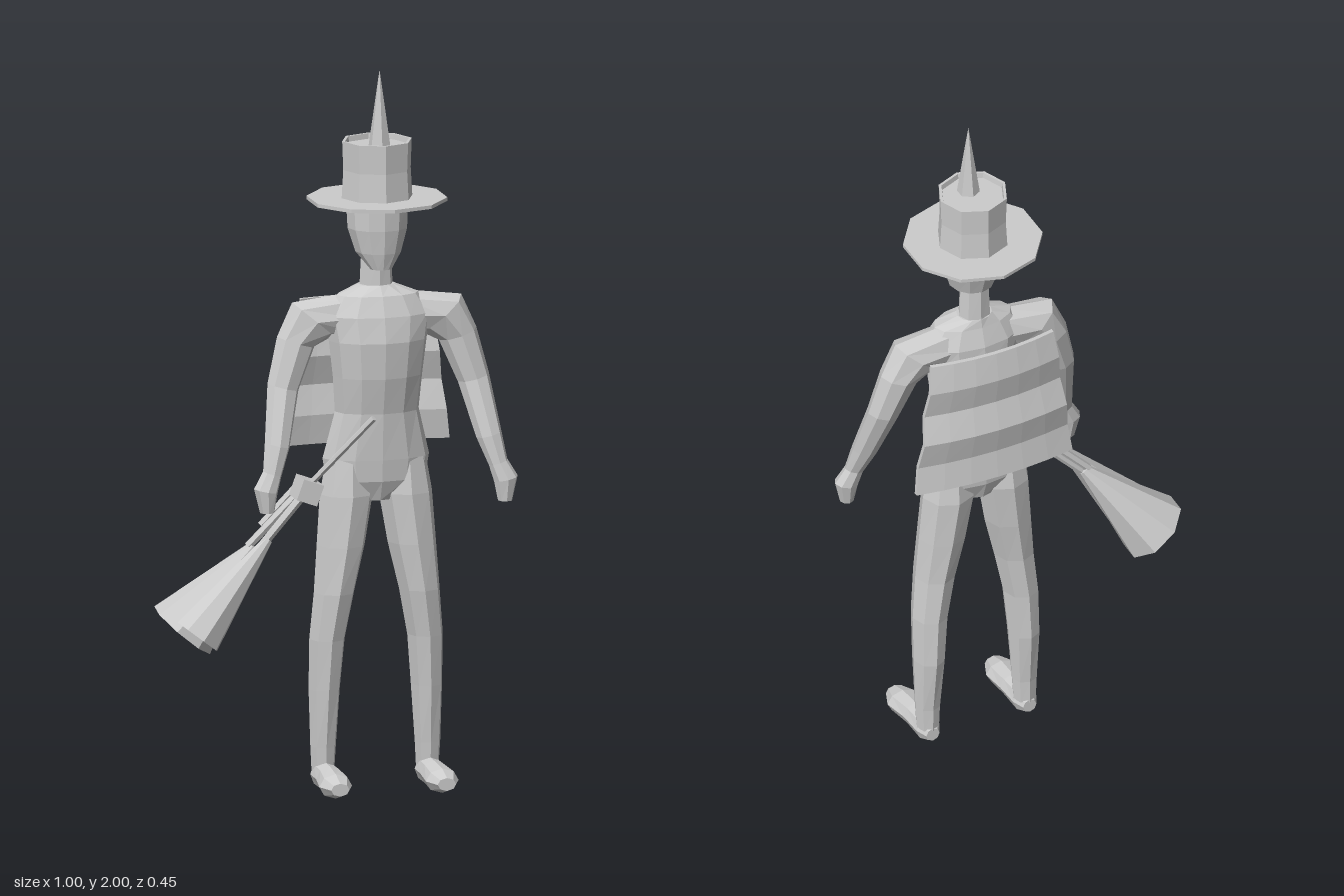
import * as THREE from 'three';

const CX = 0.137; // the figure stands beside the origin; the broom balances it

// Closed skin over elliptical rings, listed bottom to top: [x, y, z, rx, rz, tilt]
function loft(sections, sides = 8) {
  const pos = [], idx = [];
  for (const [x, y, z, rx, rz, t = 0] of sections) {
    for (let i = 0; i < sides; i++) {
      const a = (i / sides) * Math.PI * 2, u = Math.cos(a) * rx;
      pos.push(x + u * Math.cos(t), y + u * Math.sin(t), z + Math.sin(a) * rz);
    }
  }
  const last = sections.length - 1, base = sections.length * sides;
  for (const s of [sections[0], sections[last]]) pos.push(s[0], s[1], s[2]);
  for (let i = 0; i < sides; i++) {
    const j = (i + 1) % sides;
    for (let k = 0; k < last; k++) {
      const a = k * sides, b = a + sides;
      idx.push(a + i, b + i, a + j, b + i, b + j, a + j);
    }
    idx.push(base, i, j, base + 1, last * sides + j, last * sides + i);
  }
  const g = new THREE.BufferGeometry();
  g.setAttribute('position', new THREE.Float32BufferAttribute(pos, 3));
  g.setIndex(idx);
  g.computeVertexNormals();
  return g;
}

export function createModel() {
  const group = new THREE.Group();
  const grey = new THREE.MeshStandardMaterial({ color: 0xcccccc, flatShading: true });
  grey.name = 'plain grey';

  const add = (name, geometry, x = 0, y = 0, z = 0) => {
    const m = new THREE.Mesh(geometry, grey);
    m.name = name;
    m.position.set(x, y, z);
    group.add(m);
    return m;
  };
  // Tapered rod between two points
  const rod = (name, from, to, r0, r1 = r0, sides = 6) => {
    const a = new THREE.Vector3(...from), b = new THREE.Vector3(...to);
    const d = b.clone().sub(a);
    const m = add(name, new THREE.CylinderGeometry(r1, r0, d.length(), sides));
    m.position.copy(a).add(b).multiplyScalar(0.5);
    m.quaternion.setFromUnitVectors(new THREE.Vector3(0, 1, 0), d.normalize());
    return m;
  };

  // Torso, neck and head
  add('torso', loft([
    [0, 0.805, -0.045, 0.05, 0.05], [0, 0.86, -0.045, 0.14, 0.07],
    [0, 0.92, -0.045, 0.15, 0.075], [0, 1.05, -0.035, 0.118, 0.072],
    [0, 1.15, -0.026, 0.126, 0.083], [0, 1.25, -0.023, 0.138, 0.088],
    [0, 1.32, -0.028, 0.15, 0.08], [0, 1.375, -0.03, 0.115, 0.06],
    [0, 1.4, -0.04, 0.05, 0.045],
  ], 12), CX);
  add('neck', loft([[0, 1.37, -0.042, 0.048, 0.043], [0, 1.49, -0.042, 0.042, 0.04]]), CX);
  add('head', loft([
    [0, 1.45, 0.012, 0.03, 0.026], [0, 1.495, -0.02, 0.064, 0.068],
    [0, 1.56, -0.028, 0.084, 0.083], [0, 1.64, -0.03, 0.088, 0.085],
  ], 12), CX);

  // Limbs, mirrored
  for (const s of [1, -1]) {
    const side = s > 0 ? 'left' : 'right';
    const mirror = (rows) => rows.map(([x, y, z, a, b, t = 0]) => [s * x, y, z, a, b, s * t]);
    add(side + 'Arm', loft(mirror([
      [0.335, 0.8, 0.065, 0.02, 0.02], [0.338, 0.86, 0.062, 0.034, 0.03, 0.2],
      [0.318, 0.905, 0.055, 0.027, 0.024, 0.3], [0.298, 0.98, 0.032, 0.036, 0.034, 0.25],
      [0.268, 1.13, -0.02, 0.045, 0.042, 0.25], [0.228, 1.25, -0.036, 0.055, 0.05, 0.3],
      [0.18, 1.31, -0.036, 0.076, 0.056, 0.7], [0.06, 1.315, -0.035, 0.066, 0.05, 1.4],
    ])), CX);
    add(side + 'Leg', loft(mirror([
      [0.147, 0.05, -0.052, 0.032, 0.034], [0.147, 0.12, -0.05, 0.036, 0.037],
      [0.144, 0.28, -0.05, 0.044, 0.053], [0.138, 0.42, -0.043, 0.05, 0.058],
      [0.12, 0.55, -0.036, 0.057, 0.065], [0.1, 0.68, -0.04, 0.068, 0.071],
      [0.083, 0.82, -0.045, 0.075, 0.074], [0.08, 0.92, -0.045, 0.06, 0.06],
    ])), CX);
    // Foot runs along z, so it is lofted upright and laid forward
    add(side + 'Foot', loft(mirror([
      [0.147, -0.085, -0.038, 0.02, 0.02], [0.147, -0.055, -0.042, 0.035, 0.038],
      [0.147, 0.02, -0.042, 0.038, 0.035], [0.15, 0.095, -0.036, 0.046, 0.034],
      [0.15, 0.145, -0.035, 0.026, 0.018],
    ])).rotateX(Math.PI / 2), CX);
  }

  // Hat: ten-sided brim, eight-sided crown with sunken top, tall spike
  add('hatBrim', new THREE.CylinderGeometry(0.192, 0.192, 0.01, 10), CX, 1.637, -0.032);
  const crown = [[0.1, 1.635], [0.095, 1.72], [0.098, 1.8], [0.09, 1.8], [0.088, 1.785], [0, 1.785]];
  add('hatCrown', new THREE.LatheGeometry(crown.map((p) => new THREE.Vector2(...p)), 8), CX, 0, -0.032);
  add('hatSpike', new THREE.ConeGeometry(0.032, 0.22, 6), CX, 1.89, -0.005);

  // Rippled cape, wider at the hem and bowed backwards
  const cape = new THREE.BoxGeometry(2, 1, 0.012, 6, 5, 1);
  const ripple = [-0.182, -0.172, -0.19, -0.168, -0.184, -0.17]; // hem to collar
  const p = cape.attributes.position;
  for (let i = 0; i < p.count; i++) {
    const u = p.getX(i), v = p.getY(i) + 0.5;
    p.setXYZ(i, u * (0.237 - 0.052 * v), 0.935 + 0.41 * v,
      ripple[Math.round(v * 5)] + 0.022 * u * u + p.getZ(i));
  }
  cape.computeVertexNormals();
  add('cape', cape, CX);

  // Broom: handle, block with crossbar, three prongs and two bristle bundles
  rod('broomHandle', [0.063, 1.078, 0.213], [-0.1, 0.86, 0.085], 0.009);
  const block = add('broomBlock', new THREE.BoxGeometry(0.06, 0.06, 0.085), -0.093, 0.862, 0.088);
  block.rotation.z = -0.35;
  rod('broomCrossbar', [-0.09, 0.865, 0.06], [-0.075, 0.865, -0.03], 0.011);
  rod('shortProng', [-0.075, 0.865, -0.03], [-0.19, 0.745, -0.035], 0.01);
  rod('middleProng', [-0.08, 0.865, 0.035], [-0.24, 0.7, 0.02], 0.012);
  rod('frontProng', [-0.1, 0.85, 0.085], [-0.23, 0.7, 0.085], 0.012);
  rod('rearBristles', [-0.225, 0.7, 0.022], [-0.415, 0.468, -0.02], 0.015, 0.1, 8);
  rod('frontBristles', [-0.2, 0.73, 0.085], [-0.4, 0.47, 0.085], 0.013, 0.07, 8);

  return group;
}
